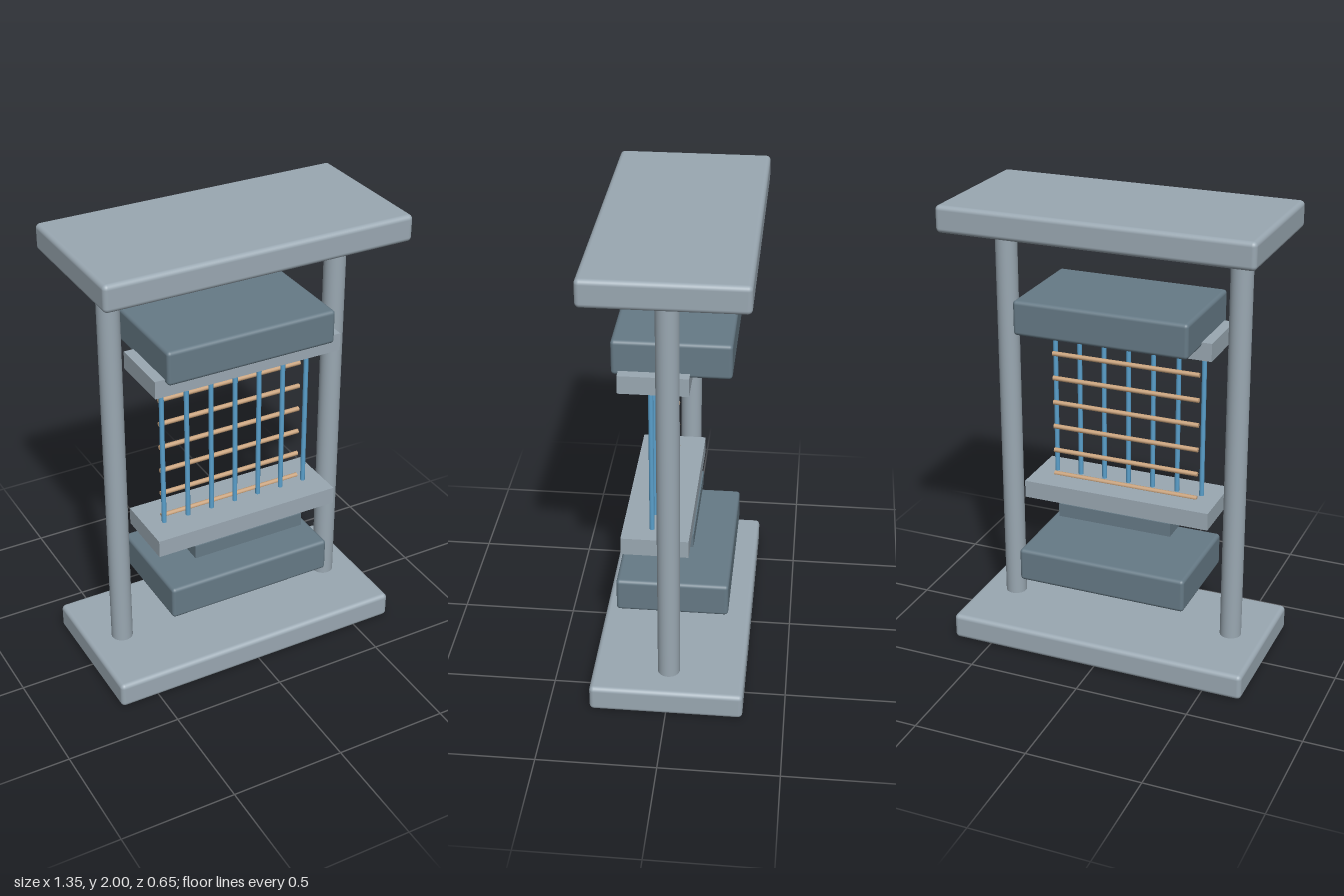
import * as THREE from 'three';
import { RoundedBoxGeometry } from 'three/addons/geometries/RoundedBoxGeometry.js';

const mat = (name, color) => new THREE.MeshStandardMaterial({ name, color });

export function createModel() {
  const steel = mat('lightSteel', 0x9aa8b2);
  const slate = mat('slate', 0x667a86);
  const blue = mat('blueWire', 0x5aa0cc);
  const tan = mat('tanWire', 0xc8a27c);
  const model = new THREE.Group();
  model.name = 'pressFrame';

  const add = (parent, name, geometry, material, x, y, z) => {
    const mesh = new THREE.Mesh(geometry, material);
    mesh.name = name;
    mesh.position.set(x, y, z);
    parent.add(mesh);
    return mesh;
  };

  // Base and top plates
  const plate = new RoundedBoxGeometry(1.35, 0.115, 0.65, 3, 0.02);
  add(model, 'basePlate', plate, steel, 0, 0.0575, 0);
  add(model, 'topPlate', plate, steel, 0, 1.9425, 0);

  // Round columns between the plates
  const column = new THREE.CylinderGeometry(0.047, 0.047, 1.8, 32);
  add(model, 'leftColumn', column, steel, 0.52, 1, 0);
  add(model, 'rightColumn', column, steel, -0.52, 1, 0);

  // Heavy rounded blocks above and below the grid
  const block = new RoundedBoxGeometry(0.764, 0.15, 0.48, 3, 0.016);
  add(model, 'upperBlock', block, slate, 0, 1.535, 0);
  add(model, 'lowerBlock', block, slate, 0, 0.39, 0);

  // Bars holding the grid, and the pad under the lower one
  const bar = new THREE.BoxGeometry(0.852, 0.078, 0.284);
  add(model, 'upperBar', bar, steel, 0, 1.442, 0.068);
  add(model, 'lowerBar', bar, steel, 0, 0.677, 0.068);
  add(model, 'pad', new THREE.BoxGeometry(0.52, 0.06, 0.296), slate, 0, 0.608, 0.068);

  // Grid: upright blue wires in front of level tan wires
  const grid = new THREE.Group();
  grid.name = 'wireGrid';
  model.add(grid);
  const upright = new THREE.CylinderGeometry(0.0105, 0.0105, 0.7, 12);
  const level = new THREE.CylinderGeometry(0.0105, 0.0105, 0.67, 12).rotateZ(Math.PI / 2);
  for (let i = -3; i <= 3; i++) {
    add(grid, 'uprightWire', upright, blue, i * 0.1137, 1.06, 0.087);
    add(grid, 'levelWire', level, tan, 0, 1.06 + i * 0.1137, 0.045);
  }
  return model;
}
